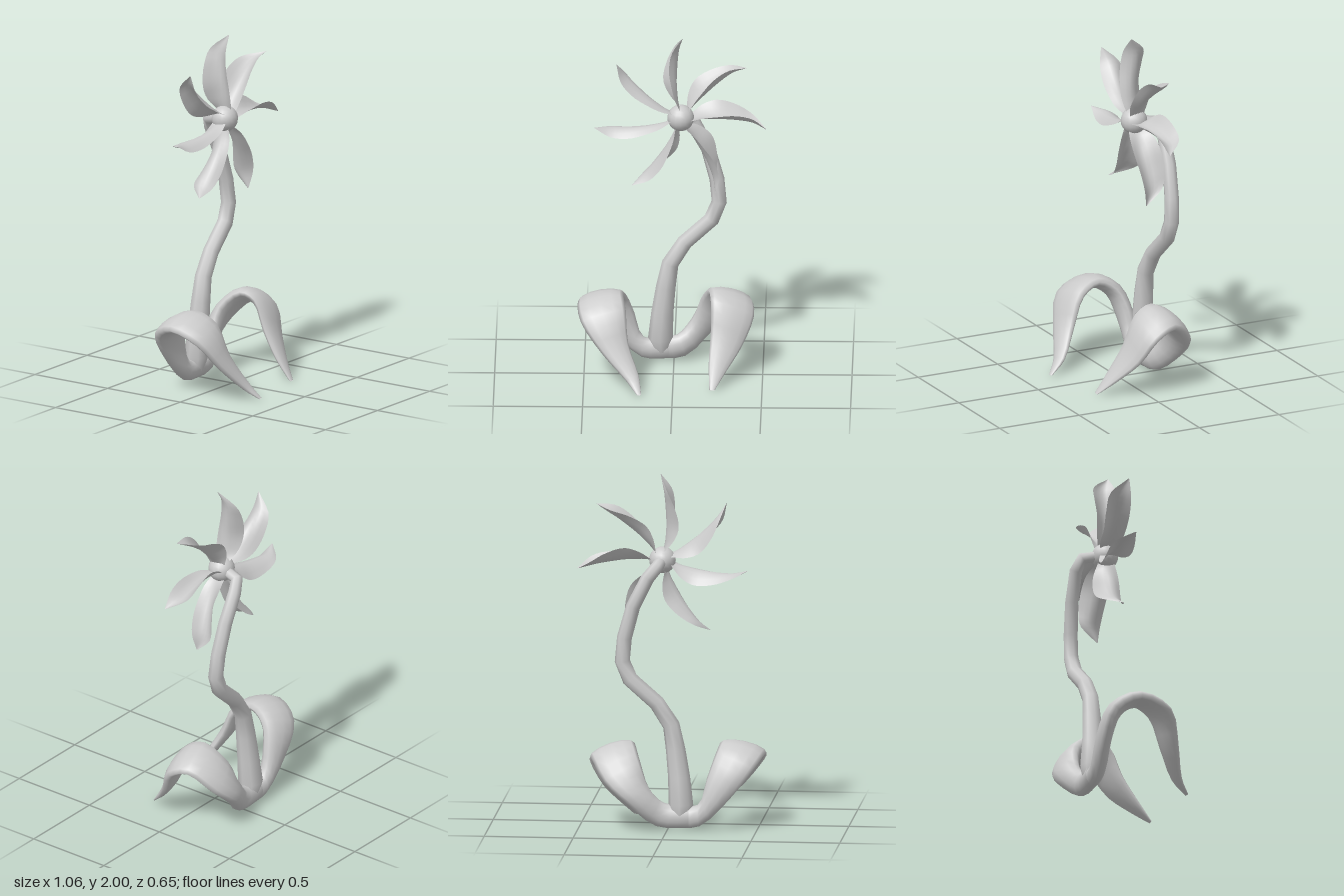
import * as THREE from 'three';

const V = (p) => new THREE.Vector3(...p);
const spline = (pts) => new THREE.CatmullRomCurve3(pts.map(V), false, 'centripetal');
const material = new THREE.MeshStandardMaterial({ color: 0xcccccc, side: THREE.DoubleSide });

// Skin a list of rings (arrays of Vector3); closed rings wrap around
function loft(name, rings, closed) {
  const n = rings[0].length, pos = [], idx = [];
  rings.forEach((r) => r.forEach((p) => pos.push(p.x, p.y, p.z)));
  for (let i = 0; i < rings.length - 1; i++) {
    for (let j = 0; j < (closed ? n : n - 1); j++) {
      const k = (j + 1) % n;
      const a = i * n + j, b = i * n + k, c = a + n, d = b + n;
      idx.push(a, b, c, b, d, c);
    }
  }
  const g = new THREE.BufferGeometry();
  g.setAttribute('position', new THREE.Float32BufferAttribute(pos, 3));
  g.setIndex(idx);
  g.computeVertexNormals();
  const mesh = new THREE.Mesh(g, material);
  mesh.name = name;
  return mesh;
}

const ellipse = (c, u, v, sides) => Array.from({ length: sides }, (_, j) => {
  const a = (j / sides) * Math.PI * 2;
  return c.clone().addScaledVector(u, Math.cos(a)).addScaledVector(v, Math.sin(a));
});

// Linear lookup in a list of values, t from 0 to 1
function lerpList(list, t) {
  const f = t * (list.length - 1), i = Math.min(Math.floor(f), list.length - 2);
  return THREE.MathUtils.lerp(list[i], list[i + 1], f - i);
}

// Thick arching leaf between an inner and an outer edge
function leaf(name, inner, outer, thick) {
  const ci = spline(inner), co = spline(outer), steps = 24, rings = [];
  const mid = (t) => ci.getPoint(t).add(co.getPoint(t)).multiplyScalar(0.5);
  for (let i = 0; i <= steps; i++) {
    const t = i / steps, c = mid(t);
    const w = co.getPoint(t).sub(c);
    const tan = mid(Math.min(1, t + 0.02)).sub(mid(Math.max(0, t - 0.02)));
    const b = tan.cross(w).normalize().multiplyScalar(lerpList(thick, t));
    rings.push(ellipse(c, w, b, 12));
  }
  return loft(name, rings, true);
}

// Winding stem with a flared foot and a forward-bent neck
function stem() {
  const pts = [[-0.07, 0.07, -0.2], [-0.075, 0.15, -0.195], [-0.065, 0.3, -0.188], [-0.045, 0.46, -0.185],
    [-0.02, 0.6, -0.185], [0.06, 0.725, -0.19], [0.21, 0.86, -0.2], [0.253, 0.965, -0.207],
    [0.24, 1.1, -0.215], [0.19, 1.28, -0.225], [0.11, 1.44, -0.228], [0.06, 1.5, -0.205], [0.04, 1.52, -0.1]];
  const radii = [0.045, 0.07, 0.062, 0.055, 0.048, 0.045, 0.045, 0.043, 0.042, 0.04, 0.038, 0.036, 0.032];
  const c = spline(pts);
  const u = new THREE.Vector3(0, 0, 1);
  const rings = pts.map((p, i) => {
    const tan = c.getTangent(i / (pts.length - 1));
    u.addScaledVector(tan, -u.dot(tan)).normalize(); // carry the frame along the path
    const v = tan.clone().cross(u), r = radii[i];
    return ellipse(V(p), u.clone().multiplyScalar(r), v.multiplyScalar(r), 8);
  });
  return loft('stem', rings, true);
}

// Wavy, channelled petal pointing up: front rim, back rim and a bowed middle
function petal() {
  const front = spline([[0, 0.05, 0.045], [-0.03, 0.12, 0.06], [-0.05, 0.2, 0.062],
    [-0.065, 0.3, 0.055], [-0.05, 0.4, 0.042], [0.01, 0.485, 0.023]]);
  const back = spline([[-0.01, 0.05, -0.045], [-0.07, 0.12, -0.072], [-0.1, 0.2, -0.08],
    [-0.078, 0.31, -0.088], [-0.035, 0.4, -0.078], [0.012, 0.485, 0.018]]);
  const rings = [];
  for (let i = 0; i <= 16; i++) {
    const f = front.getPoint(i / 16), b = back.getPoint(i / 16);
    const bow = 0.055 * Math.sin(Math.PI * i / 16);
    rings.push([0, 1, 2, 3, 4, 5, 6].map((k) => {
      const p = f.clone().lerp(b, k / 6);
      p.x += bow * Math.sin(Math.PI * k / 6);
      return p;
    }));
  }
  return loft('petal', rings, false);
}

export function createModel() {
  const model = new THREE.Group();
  model.name = 'flower';

  model.add(stem());

  // Two drooping leaves joined at the foot
  model.add(leaf('rightLeaf',
    [[-0.03, 0.15, -0.2], [-0.17, 0.15, -0.19], [-0.22, 0.3, -0.18], [-0.26, 0.42, -0.13], [-0.28, 0.475, -0.03],
      [-0.265, 0.42, 0.08], [-0.25, 0.25, 0.15], [-0.19, 0.09, 0.24], [-0.175, 0.01, 0.325]],
    [[-0.03, 0.02, -0.205], [-0.18, 0.03, -0.205], [-0.36, 0.2, -0.21], [-0.48, 0.35, -0.185], [-0.535, 0.42, -0.05],
      [-0.515, 0.36, 0.12], [-0.4, 0.21, 0.2], [-0.26, 0.07, 0.27], [-0.2, 0.01, 0.33]],
    [0.045, 0.045, 0.045, 0.045, 0.04, 0.038, 0.032, 0.02, 0.005]));
  model.add(leaf('leftLeaf',
    [[-0.12, 0.15, -0.2], [0.02, 0.16, -0.2], [0.1, 0.24, -0.215], [0.15, 0.38, -0.2], [0.195, 0.475, -0.09],
      [0.21, 0.44, 0], [0.21, 0.28, 0.07], [0.2, 0.13, 0.16], [0.205, 0.01, 0.25]],
    [[-0.12, 0.02, -0.205], [0.06, 0.03, -0.225], [0.22, 0.17, -0.305], [0.35, 0.28, -0.27], [0.435, 0.395, -0.145],
      [0.45, 0.345, -0.025], [0.385, 0.2, 0.06], [0.3, 0.09, 0.16], [0.235, 0.01, 0.25]],
    [0.045, 0.05, 0.05, 0.047, 0.042, 0.038, 0.032, 0.02, 0.005]));

  // Blossom: round centre with seven slightly uneven petals
  const blossom = new THREE.Group();
  blossom.name = 'blossom';
  blossom.position.set(0.04, 1.52, -0.08);
  const centre = new THREE.Mesh(new THREE.SphereGeometry(0.075, 16, 12), material);
  centre.name = 'flowerCentre';
  blossom.add(centre);
  for (const angle of [0, 49, 98, 147, 205, 264, 311]) {
    const p = petal();
    p.rotation.z = THREE.MathUtils.degToRad(angle);
    blossom.add(p);
  }
  model.add(blossom);
  return model;
}
